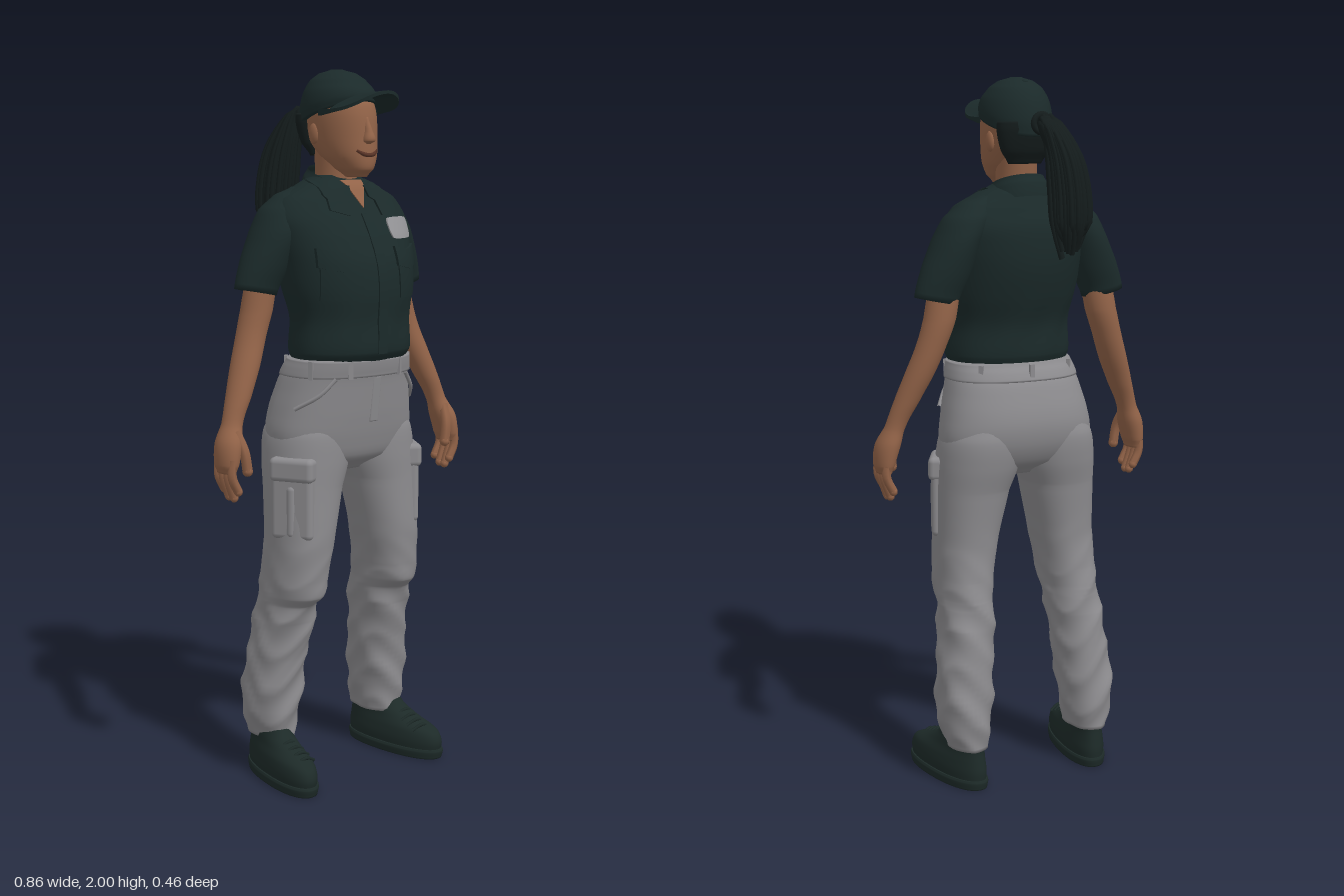
import * as THREE from 'three';
import { RoundedBoxGeometry } from 'three/addons/geometries/RoundedBoxGeometry.js';

const mat = (name, color, side = THREE.FrontSide) => new THREE.MeshStandardMaterial({ name, color, side });

// A section is [y, xMin, xMax, zBack, zFront]; dense() adds k smooth steps between them.
function dense(sections, k = 5) {
  const s = [...sections].sort((a, b) => a[0] - b[0]), rows = [];
  const at = i => s[Math.max(0, Math.min(s.length - 1, i))];
  for (let i = 0; i < s.length - 1; i++) for (let j = 0; j < k; j++) {
    const t = j / k;
    rows.push(s[i].map((b, c) => {
      if (c === 0) return b + (s[i + 1][0] - b) * t;
      const a = at(i - 1)[c], d = s[i + 1][c], e = at(i + 2)[c];
      return b + 0.5 * t * (d - a + t * (2 * a - 5 * b + 4 * d - e + t * (3 * (b - d) + e - a)));
    }));
  }
  rows.push(s[s.length - 1]);
  return rows;
}

// Skins rounded sections with a closed surface.
function loft(sections, { seg = 36, p = 0.9, k = 5, warp = null, open = false } = {}) {
  const rows = dense(sections, k), pos = [], idx = [], v = new THREE.Vector3();
  const pw = n => Math.sign(n) * Math.abs(n) ** p;
  rows.forEach(([y, x0, x1, z0, z1]) => {
    for (let i = 0; i < seg; i++) {
      const a = i / seg * Math.PI * 2, cx = (x0 + x1) / 2, cz = (z0 + z1) / 2;
      v.set(cx + (x1 - x0) / 2 * pw(Math.cos(a)), y, cz + (z1 - z0) / 2 * pw(Math.sin(a)));
      if (warp) warp(v, cx, cz, a);
      pos.push(v.x, v.y, v.z);
    }
  });
  for (let r = 0; r < rows.length - 1; r++) for (let i = 0; i < seg; i++) {
    const a = r * seg + i, b = r * seg + (i + 1) % seg;
    idx.push(a, a + seg, b, b, a + seg, b + seg);
  }
  if (!open) [0, rows.length - 1].forEach((r, top) => {
    const [y, x0, x1, z0, z1] = rows[r], c = pos.length / 3;
    v.set((x0 + x1) / 2, y, (z0 + z1) / 2);
    if (warp) warp(v, v.x, v.z, 0);
    pos.push(v.x, v.y, v.z);
    for (let i = 0; i < seg; i++) {
      const a = r * seg + i, b = r * seg + (i + 1) % seg;
      top ? idx.push(c, b, a) : idx.push(c, a, b);
    }
  });
  const g = new THREE.BufferGeometry();
  g.setAttribute('position', new THREE.Float32BufferAttribute(pos, 3));
  g.setIndex(idx);
  g.computeVertexNormals();
  return g;
}

// Moves the vertices of a geometry by a rule.
function bend(g, rule) {
  const p = g.attributes.position, v = new THREE.Vector3();
  for (let i = 0; i < p.count; i++) { v.fromBufferAttribute(p, i); rule(v); p.setXYZ(i, v.x, v.y, v.z); }
  g.computeVertexNormals();
  return g;
}

const sym = (y, x, z0, z1) => [y, -x, x, z0, z1];
const flip = (sections, s) => s > 0 ? sections : sections.map(([y, a, b, c, d]) => [y, -b, -a, c, d]);
const tube = (pts, r, n = 10) => new THREE.TubeGeometry(
  new THREE.CatmullRomCurve3(pts.map(q => new THREE.Vector3(...q))), n, r, 6);
const fold = a => 1 - 2 * Math.abs(Math.sin(a)); // sharp-edged cloth fold

const TORSO = [sym(1.2, .172, -.06, .19), sym(1.235, .183, -.073, .212), sym(1.32, .177, -.075, .21), sym(1.4, .193, -.1, .215),
  sym(1.48, .203, -.12, .204), sym(1.55, .214, -.125, .173), sym(1.6, .218, -.12, .142), sym(1.65, .188, -.1, .11),
  sym(1.685, .12, -.085, .09), sym(1.712, .07, -.07, .06)];
const SLEEVE = [[1.395, .2, .322, -.072, .032], [1.48, .16, .298, -.09, .055], [1.56, .13, .262, -.1, .07],
  [1.62, .1, .23, -.092, .056], [1.66, .09, .182, -.066, .03], [1.68, .09, .13, -.045, .005]];
const ARM = [[1.46, .19, .28, -.065, .02], [1.35, .208, .298, -.072, .02], [1.28, .234, .318, -.066, .022], [1.2, .266, .347, -.052, .035],
  [1.12, .306, .376, -.03, .045], [1.05, .342, .4, -.012, .05], [1, .355, .424, -.016, .074], [.945, .372, .428, -.012, .078], [.92, .382, .42, -.004, .07]];
const PELVIS = [sym(1.215, .178, -.066, .192), sym(1.15, .196, -.1, .18), sym(1.06, .218, -.125, .168),
  sym(.99, .226, -.12, .155), sym(.93, .2, -.09, .135), sym(.89, .09, -.03, .08)];
const LEG = [[1.06, .03, .19, -.1, .13], [1, .005, .224, -.114, .142], [.93, .005, .236, -.108, .144], [.85, .032, .24, -.09, .142],
  [.7, .066, .242, -.077, .143], [.6, .085, .246, -.086, .136], [.545, .092, .247, -.096, .128], [.515, .095, .247, -.102, .096],
  [.46, .101, .252, -.113, .084], [.35, .11, .266, -.126, .06], [.2, .124, .273, -.142, .045], [.115, .14, .25, -.138, .036]];
const HEAD = [sym(1.708, .025, .06, .13), sym(1.73, .046, .02, .149), sym(1.765, .067, -.03, .152), sym(1.81, .079, -.075, .149),
  sym(1.87, .084, -.09, .143), sym(1.91, .08, -.088, .13), sym(1.94, .065, -.07, .095)];
const CAP = [sym(1.875, .095, -.103, .136), sym(1.905, .097, -.105, .137), sym(1.94, .089, -.093, .125),
  sym(1.97, .07, -.07, .1), sym(1.988, .045, -.045, .07), sym(1.998, .014, -.01, .03)];
const BOOT = [[.018, .15, .264, -.138, .193], [.05, .148, .266, -.14, .197], [.08, .152, .262, -.136, .178],
  [.105, .158, .254, -.132, .11], [.13, .16, .25, -.13, .055], [.16, .165, .245, -.12, .03]];
const SOLE = [[0, .146, .268, -.14, .196], [.02, .143, .271, -.144, .201], [.028, .146, .268, -.142, .199]];

// Front surface depth of the shirt at x, y.
const torsoRows = dense(TORSO);
function chestZ(x, y) {
  const i = Math.max(1, torsoRows.findIndex(r => r[0] >= y)), a = torsoRows[i - 1], b = torsoRows[i];
  const r = a.map((q, c) => q + (b[c] - q) * (y - a[0]) / (b[0] - a[0]));
  const u = Math.min(1, Math.abs(x / r[2])) ** (2 / .95);
  return (r[3] + r[4]) / 2 + (r[4] - r[3]) / 2 * (1 - u) ** .475;
}
// Thin cloth piece hugging the chest; shape() may move its outline first.
const chestPlate = (x, y, w, h, t, shape) => bend(new THREE.BoxGeometry(w, h, t, 10, 8, 1), v => {
  if (shape) shape(v, w, h);
  v.x += x; v.y += y; v.z += chestZ(v.x, v.y) + .001;
});

export function createModel() {
  const root = new THREE.Group();
  const shirt = mat('dark green cloth', 0x1b2a2a, THREE.DoubleSide), grey = mat('grey trousers', 0x8c8b8e);
  const skin = mat('skin', 0x926348), hair = mat('black hair', 0x141c1c), boot = mat('dark boot', 0x1d2a28);
  const badge = mat('light grey patch', 0x929295), lip = mat('dark lip', 0x593427);
  const add = (name, g, m, x = 0, y = 0, z = 0) => {
    const o = new THREE.Mesh(g, m);
    o.name = name; o.position.set(x, y, z); root.add(o);
    return o;
  };

  // Shirt body with soft folds above the waist
  add('shirtBody', loft(TORSO, { seg: 48, p: .95, warp: (v, cx, cz, a) => {
    const f = 1 + .014 * Math.sin(a * 9 + v.y * 20) * Math.max(0, 1 - Math.abs(v.y - 1.29) / .12);
    v.x *= f; v.z = cz + (v.z - cz) * f;
  } }), shirt);
  add('placket', chestPlate(0, 1.42, .032, .38, .007), shirt);
  add('neckOpening', chestPlate(0, 1.662, .075, .075, .006, (v, w, h) => { v.x *= .5 + v.y / h; }), skin);
  add('chestPatch', chestPlate(.117, 1.568, .104, .058, .008, (v, w, h) => {
    v.x *= 1 - .12 * (2 * v.y / h) ** 4; v.y *= 1 - .15 * (2 * v.x / w) ** 4;
  }), badge);
  add('collarBand', loft([sym(1.65, .096, -.094, .104), sym(1.69, .085, -.085, .09), sym(1.716, .072, -.072, .08)],
    { open: true, warp: v => { v.y -= v.z * .32; } }), shirt);

  // Trousers seat, waistband, fly and belt loops
  add('trouserSeat', loft(PELVIS, { seg: 48, p: .85 }), grey);
  add('waistband', loft([sym(1.165, .195, -.096, .188), sym(1.19, .189, -.085, .193), sym(1.212, .182, -.07, .196)], { p: .85 }), grey);
  add('fly', new RoundedBoxGeometry(.03, .13, .01, 2, .004), grey, .008, 1.1, .17).rotation.x = .12;
  [.45, 1.1, 2.04, 2.69, 3.9, 4.71, 5.5].forEach(a => {
    const o = add('beltLoop', new THREE.BoxGeometry(.014, .05, .01), grey, Math.cos(a) * .193, 1.187, .054 + Math.sin(a) * .141);
    o.rotation.y = Math.PI / 2 - a;
  });

  for (const s of [1, -1]) {
    // Collar point, chest pocket and sleeve
    add('collarPoint', chestPlate(s * .064, 1.652, .08, .08, .014, (v, w, h) => {
      v.y += s * v.x * .2; v.x += s * (.5 - v.y / h) * .016; if (v.y < 0) v.x = v.x * .7 + s * .007;
    }), shirt);
    add('chestPocket', chestPlate(s * .115, 1.435, .1, .11, .007), shirt);
    add('pocketFlap', chestPlate(s * .115, 1.495, .112, .052, .017, (v, w) => { v.y -= .012 * (1 - Math.abs(2 * v.x / w)); }), shirt);
    add('sleeve', loft(flip(SLEEVE, s), { p: 1, warp: v => {
      v.y += (Math.abs(v.x) - .25) * .2 * Math.max(0, 1 - (v.y - 1.395) * 8);
    } }), shirt);

    // Arm, fingers and thumb
    add('arm', loft(flip(ARM, s), { seg: 24, p: 1 }), skin);
    [[.002, .87], [.024, .852], [.046, .85], [.066, .87]].forEach(([z, y]) => {
      add('finger', tube([[s * .404, .96, z], [s * .405, .91, z], [s * .386, y, z]], .0125), skin);
      add('fingertip', new THREE.SphereGeometry(.0125, 8, 6), skin, s * .386, y, z);
    });
    add('thumb', tube([[s * .378, 1.03, .045], [s * .368, .98, .07], [s * .36, .925, .074]], .015), skin);
    add('thumbTip', new THREE.SphereGeometry(.015, 8, 6), skin, s * .36, .925, .074);

    // Trouser leg, creased more strongly toward the ankle
    add('trouserLeg', loft(flip(LEG, s), { seg: 40, k: 9, warp: (v, cx, cz) => {
      const t = Math.max(0, Math.min(1, (.74 - v.y) * 3)), a = Math.atan2(v.z - cz, (v.x - cx) * s);
      const f = 1 + t * (.045 * fold(v.y * 30 + 1.6 * Math.sin(a * 2)) + .035 * fold(v.y * 17 - 2 * a) + .014);
      v.x = cx + (v.x - cx) * f; v.z = cz + (v.z - cz) * f;
    } }), grey);
    // Cargo pocket and slanted hip pocket
    [['cargoPocket', .044, .2, .125, .815, 0], ['cargoFlap', .054, .068, .131, .912, .002], ['cargoPleat', .052, .15, .03, .795, .001]]
      .forEach(([n, w, h, d, y, o]) => {
        add(n, new RoundedBoxGeometry(w, h, d, 3, .016), grey, s * (.209 + o), y, .08 + o).rotation.y = -s * .5;
      });
    add('hipPocketEdge', tube([[s * .125, 1.165, .163], [s * .165, 1.12, .14], [s * .208, 1.08, .085]], .006), grey);

    // Boot turned slightly outward, with laces
    const turn = v => { v.x += s * (v.z * .14 + .002); };
    add('boot', loft(flip(BOOT, s), { p: .9, warp: turn }), boot);
    add('bootSole', loft(flip(SOLE, s), { p: .9, warp: turn }), boot);
    for (let i = 0; i < 4; i++) {
      const z = .062 + i * .025, y = .12 - i * .009;
      add('lace', tube([[s * .185, y - .012, z], [s * .218, y + .003, z + .008], [s * .25, y - .012, z]], .005), boot);
    }
    add('ear', new THREE.SphereGeometry(.026, 12, 10), skin, s * .08, 1.825, .01).scale.set(.4, 1.1, .75);
  }

  // Neck, head and face
  add('neck', loft([sym(1.61, .07, -.06, .085), sym(1.68, .056, -.052, .07), sym(1.8, .053, -.06, .075)]), skin);
  add('head', loft(HEAD, { p: .95 }), skin);
  add('nose', loft([sym(1.797, .01, .13, .152), sym(1.806, .018, .13, .168), sym(1.83, .012, .125, .161), sym(1.87, .008, .12, .143)], { seg: 14 }), skin);
  add('mouth', tube([[-.033, 1.78, .137], [-.016, 1.769, .149], [0, 1.767, .151], [.016, 1.769, .149], [.033, 1.78, .137]], .006), lip);
  add('hairBack', loft([sym(1.765, .05, -.06, -.025), sym(1.8, .074, -.08, -.018), sym(1.85, .087, -.094, -.01), sym(1.88, .087, -.096, -.01)]), hair);

  // Cap crown, brim and button
  add('capCrown', loft(CAP, { p: 1, warp: v => { v.y += (v.z - .015) * .36 * Math.max(0, (1.96 - v.y) / .1); } }), shirt);
  add('capBrim', bend(new THREE.BoxGeometry(1, 1, 1, 28, 1, 6), v => {
    const a = v.x * Math.PI, out = v.z + .5, x = .094 * Math.sin(a);
    v.set(x, 1.926 - 5.5 * x * x + .008 * out + v.y * .009, .045 + Math.max(0, Math.cos(a)) ** .6 * (.065 + out * .12));
  }), shirt);
  add('capButton', new THREE.SphereGeometry(.009, 10, 8), shirt, 0, 1.985, -.042).scale.y = .8;

  // Ponytail: a core wrapped in thin locks
  let seed = 7;
  const rnd = () => (seed = (seed * 16807) % 2147483647) / 2147483647;
  add('ponytailCore', loft([[1.53, -.09, -.06, -.18, -.15], [1.6, -.115, -.03, -.215, -.13], [1.7, -.115, -.025, -.215, -.12],
    [1.8, -.095, -.015, -.192, -.112], [1.87, -.055, 0, -.15, -.1], [1.895, -.035, -.01, -.13, -.105]], { seg: 20 }), hair);
  for (let i = 0; i < 34; i++) {
    const a = i * 2.39996, c = Math.cos(a), d = Math.sin(a), k = .8 + .25 * rnd(), end = 1.505 + .1 * rnd();
    add('hairLock', tube([[-.01, 1.86, -.09], [-.028 + c * .018, 1.888 + d * .01, -.122 + d * .01],
      [-.057 + c * .042 * k, 1.8, -.155 + d * .042 * k], [-.07 + c * .052 * k, 1.7, -.168 + d * .054 * k],
      [-.073 + c * .048 * k, 1.6, -.172 + d * .048 * k], [-.075 + c * .022, end, -.166 + d * .022]], .0075, 16), hair);
  }
  add('hairTie', new THREE.TorusGeometry(.024, .009, 8, 16), hair, -.018, 1.875, -.108);
  return root;
}
